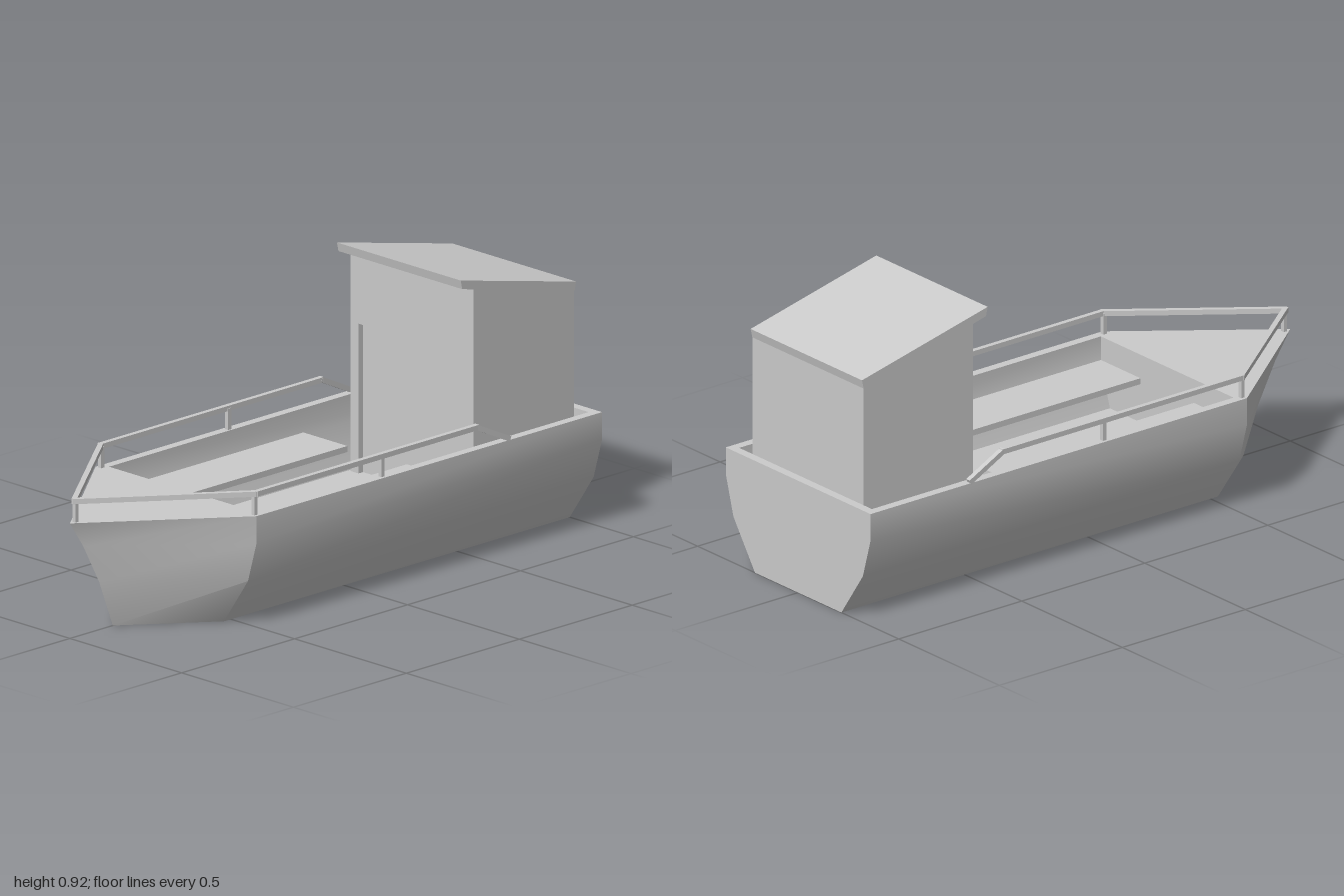
import * as THREE from 'three';
import { toCreasedNormals } from 'three/addons/utils/BufferGeometryUtils.js';

const material = new THREE.MeshStandardMaterial({ color: 0xcccccc });

function addMesh(parent, name, geometry) {
  const mesh = new THREE.Mesh(geometry, material);
  mesh.name = name;
  parent.add(mesh);
  return mesh;
}

// Hull shell: cross-section swept from stern to bow, with an open well inside
function hullGeometry() {
  const stern = -1, corner = 0.53, wellBack = -0.97, wellFront = 0.5, top = 0.38, floor = 0.15;
  // x, y and the stem's z at that height
  const outer = [[0.215, 0, 0.81], [0.322, 0.157, 0.87], [0.36, 0.29, 0.94], [0.36, top, 1]];
  const inner = [[0.285, floor], [0.33, 0.29], [0.33, top]];
  const positions = [];

  for (const side of [1, -1]) {
    const poly = (...pts) => {
      for (let i = 1; i < pts.length - 1; i++) {
        const tri = side > 0 ? [pts[0], pts[i], pts[i + 1]] : [pts[0], pts[i + 1], pts[i]];
        for (const [x, y, z] of tri) positions.push(x * side, y, z);
      }
    };
    const o = (i, z) => [outer[i][0], outer[i][1], z];
    const n = (i, z) => [inner[i][0], inner[i][1], z];
    const stem = (i) => [0, outer[i][1], outer[i][2]];

    // Outer side and bow
    for (let i = 0; i < 3; i++) {
      poly(o(i, corner), o(i, stern), o(i + 1, stern), o(i + 1, corner));
      poly(stem(i), o(i, corner), o(i + 1, corner), stem(i + 1));
    }
    // Bottom and transom
    poly([0, 0, stern], o(0, stern), o(0, corner), stem(0));
    poly([0, 0, stern], [0, top, stern], o(3, stern), o(2, stern), o(1, stern), o(0, stern));
    // Foredeck and rim
    poly([0, top, wellFront], stem(3), o(3, corner), o(3, wellFront));
    poly(n(2, stern), n(2, wellFront), o(3, wellFront), o(3, stern));
    poly([0, top, stern], [0, top, wellBack], n(2, wellBack), n(2, stern));
    // Well: sides, floor, front bulkhead and back
    for (let i = 0; i < 2; i++) {
      poly(n(i, wellBack), n(i, wellFront), n(i + 1, wellFront), n(i + 1, wellBack));
    }
    poly([0, floor, wellBack], [0, floor, wellFront], n(0, wellFront), n(0, wellBack));
    poly([0, floor, wellFront], [0, top, wellFront], n(2, wellFront), n(1, wellFront), n(0, wellFront));
    poly([0, floor, wellBack], n(0, wellBack), n(1, wellBack), n(2, wellBack), [0, top, wellBack]);
  }
  const geometry = new THREE.BufferGeometry();
  geometry.setAttribute('position', new THREE.Float32BufferAttribute(positions, 3));
  return toCreasedNormals(geometry, THREE.MathUtils.degToRad(35));
}

const outline = (pts) => pts.map(([a, b]) => new THREE.Vector2(a, b));

// Side profile of (z, y) points extruded across x from x0 to x1
function acrossX(pts, x0, x1, hole) {
  const flip = (list) => outline(list.map(([z, y]) => [-z, y]));
  const shape = new THREE.Shape(flip(pts));
  if (hole) shape.holes.push(new THREE.Path(flip(hole)));
  return new THREE.ExtrudeGeometry(shape, { depth: x1 - x0, bevelEnabled: false })
    .rotateY(Math.PI / 2).translate(x0, 0, 0);
}

function createCabin() {
  const cabin = new THREE.Group();
  cabin.name = 'cabin';
  const w = 0.275, base = 0.15, back = -0.96, inset = -0.535, recess = 0.02;
  const profile = [[back, base], [inset, base], [inset, 0.88], [back, 0.78]];
  addMesh(cabin, 'cabinBody', acrossX(profile, -w, w - recess));

  // Side wall with a recessed window
  const windowHole = [[-0.92, 0.49], [-0.545, 0.49], [-0.545, 0.645], [-0.92, 0.645]];
  addMesh(cabin, 'windowWall', acrossX(profile, w - recess, w, windowHole));

  // Front wall with a recessed doorway
  const door = 0.24, lintel = 0.645;
  const front = new THREE.Shape(outline([
    [-w, base], [-door, base], [-door, lintel], [door, lintel],
    [door, base], [w, base], [w, 0.885], [-w, 0.885],
  ]));
  addMesh(cabin, 'doorWall', new THREE.ExtrudeGeometry(front, { depth: recess, bevelEnabled: false })
    .translate(0, 0, inset));

  // Sloping roof with a front overhang
  addMesh(cabin, 'roof', acrossX(
    [[-0.967, 0.8], [-0.96, 0.77], [-0.463, 0.888], [-0.456, 0.918]], -0.277, 0.277));
  return cabin;
}

// Square bar between two points
function addBar(parent, name, a, b, size, extra = 0) {
  const start = new THREE.Vector3(...a), end = new THREE.Vector3(...b);
  const bar = addMesh(parent, name, new THREE.BoxGeometry(size, size, start.distanceTo(end) + extra));
  bar.position.copy(start).lerp(end, 0.5);
  bar.lookAt(end);
}

function createRailing() {
  const railing = new THREE.Group();
  railing.name = 'railing';
  for (const s of [1, -1]) {
    const path = [[0, 0.45, 0.98], [s * 0.347, 0.45, 0.52], [s * 0.347, 0.45, -0.455], [s * 0.352, 0.385, -0.59]];
    for (let i = 0; i < 3; i++) addBar(railing, 'handrail', path[i], path[i + 1], 0.017, 0.01);
    for (const z of [0.522, -0.04]) {
      addBar(railing, 'railPost', [s * 0.343, 0.375, z], [s * 0.343, 0.45, z], 0.014);
    }
  }
  addBar(railing, 'bowPost', [0, 0.375, 0.975], [0, 0.45, 0.975], 0.014);
  return railing;
}

export function createModel() {
  const boat = new THREE.Group();
  boat.name = 'boat';
  addMesh(boat, 'hull', hullGeometry());

  // Plank benches along both sides of the well
  for (const s of [1, -1]) {
    const bench = addMesh(boat, s > 0 ? 'leftBench' : 'rightBench', new THREE.BoxGeometry(0.197, 0.02, 0.86));
    bench.position.set(s * 0.2315, 0.29, 0.07);
  }
  boat.add(createCabin(), createRailing());
  return boat;
}
